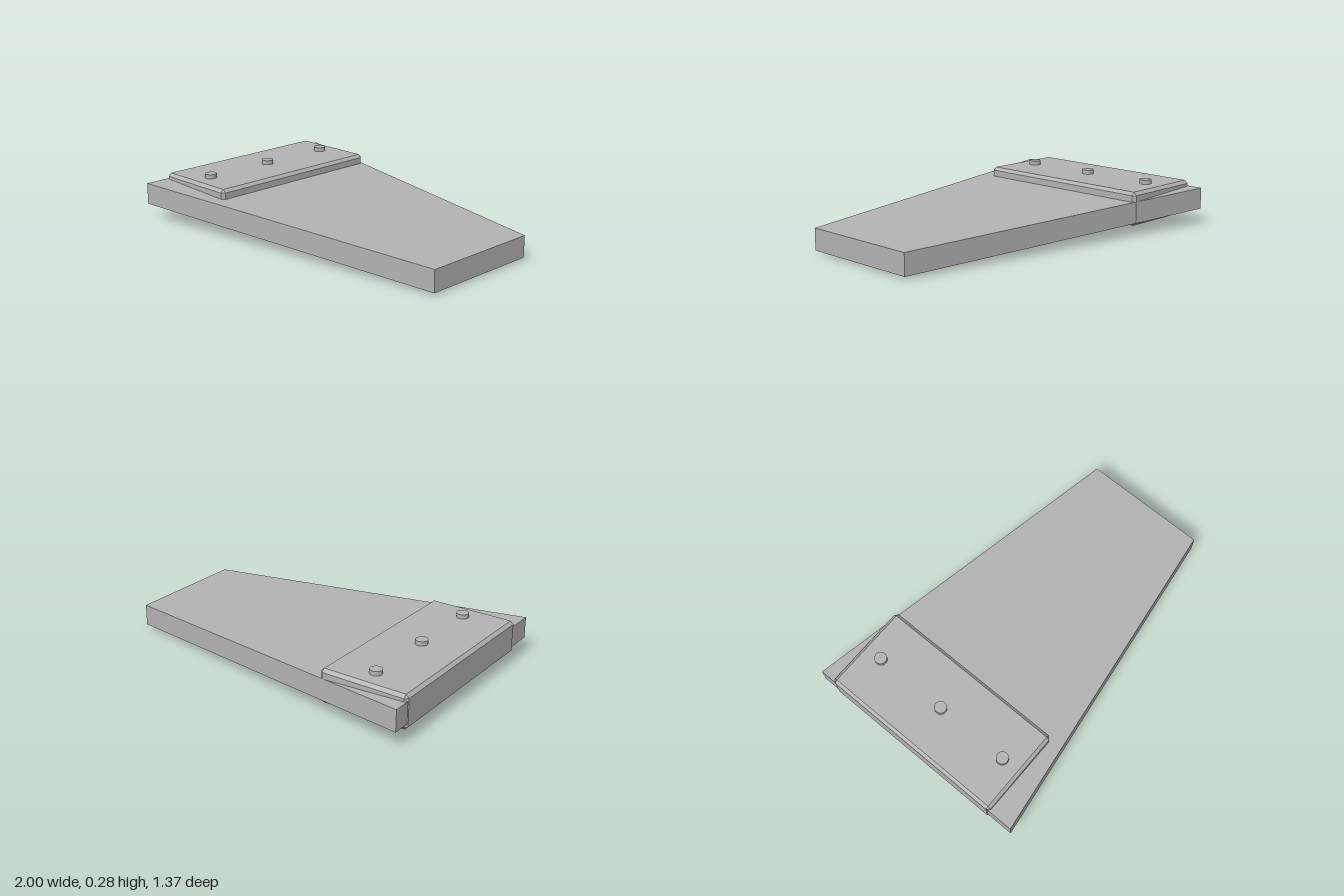
import * as THREE from 'three';
import { ConvexGeometry } from 'three/addons/geometries/ConvexGeometry.js';

const grey = new THREE.MeshStandardMaterial({ color: 0xb2b2b2 });
grey.name = 'plain grey';

// Box between two corners with every edge chamfered by b
function chamferedBox(min, max, b) {
  const centre = min.map((v, i) => (v + max[i]) / 2);
  const half = min.map((v, i) => (max[i] - v) / 2);
  const points = [];
  for (let face = 0; face < 3; face++)
    for (const sx of [-1, 1]) for (const sy of [-1, 1]) for (const sz of [-1, 1]) {
      const s = [sx, sy, sz];
      points.push(new THREE.Vector3(...s.map((v, i) => centre[i] + v * (half[i] - (i === face ? 0 : b)))));
    }
  return new ConvexGeometry(points);
}

// Tapered plan extruded downwards, then sheared so it slopes down towards +x
function slopingSlab() {
  const plan = new THREE.Shape([[-0.996, -0.685], [1, -0.32], [1, 0.408], [-0.996, 0.682]]
    .map(([x, z]) => new THREE.Vector2(x, z)));
  const geometry = new THREE.ExtrudeGeometry(plan, { depth: 0.125, bevelEnabled: false });
  geometry.rotateX(Math.PI / 2);
  const p = geometry.attributes.position;
  for (let i = 0; i < p.count; i++) p.setY(i, p.getY(i) + 0.18 - 0.041 * p.getX(i));
  geometry.computeVertexNormals();
  return geometry;
}

export function createModel() {
  const group = new THREE.Group();
  group.name = 'slopingPlate';
  const add = (name, geometry) => {
    const mesh = new THREE.Mesh(geometry, grey);
    mesh.name = name;
    group.add(mesh);
    return mesh;
  };

  add('slab', slopingSlab());
  add('block', chamferedBox([-1, 0.06, -0.595], [-0.475, 0.255, 0.535], 0.018));

  // Three round pegs along the block
  for (const z of [-0.47, -0.03, 0.41])
    add('peg', new THREE.CylinderGeometry(0.035, 0.035, 0.04, 32)).position.set(-0.738, 0.26, z);

  // Two feet beneath the slab
  for (const x of [-0.172, 0.685])
    add('foot', chamferedBox([x - 0.088, 0, -0.238], [x + 0.088, 0.12, 0.258], 0.018));

  return group;
}
